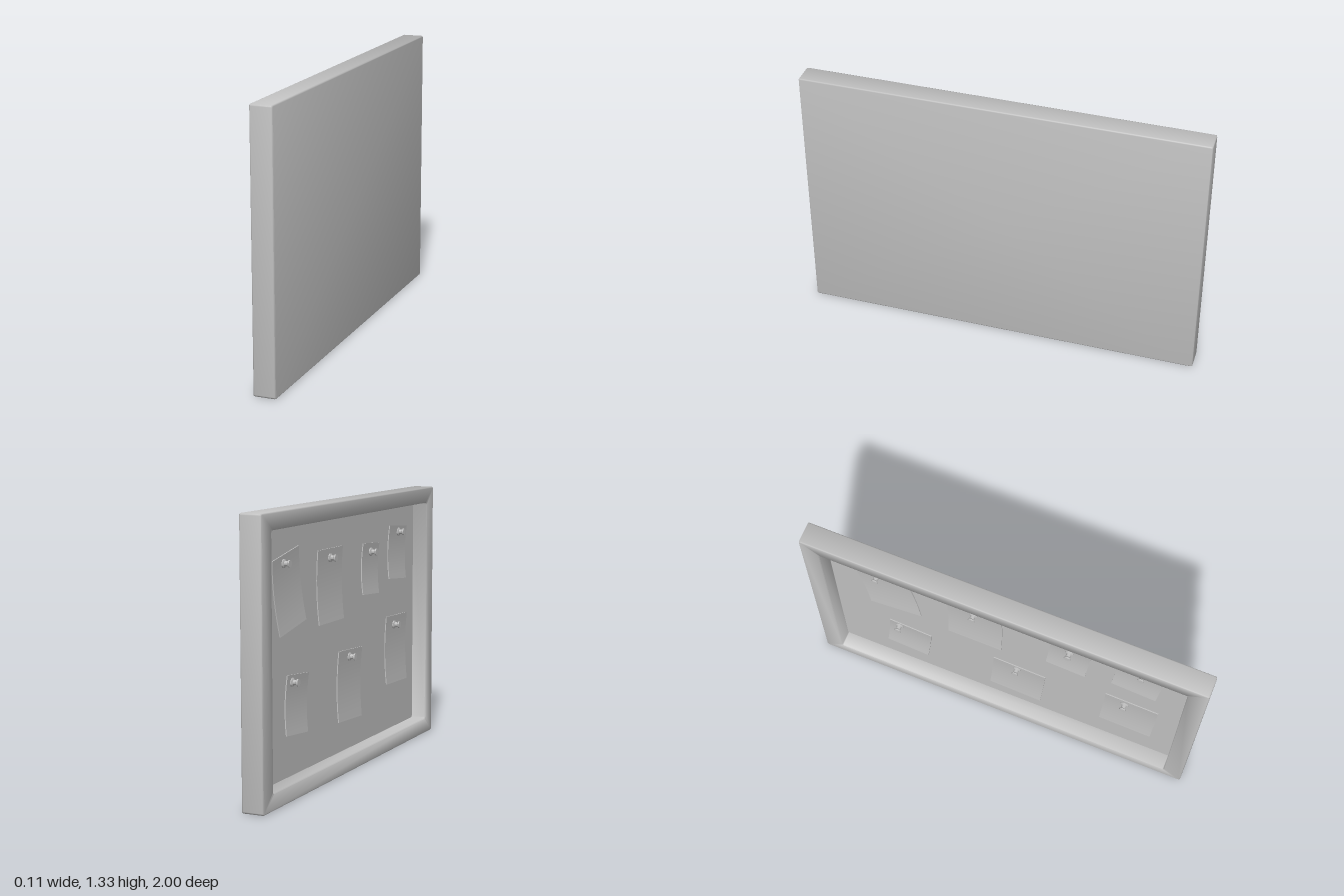
import * as THREE from 'three';
import { toCreasedNormals } from 'three/addons/utils/BufferGeometryUtils.js';

const MID = 0.665;    // height of the board's centre
const FLOOR = -0.023; // depth of the pinning surface

// Rounded rectangle cross-section, counter-clockwise
function ring([hw, hh, r, z]) {
  const pts = [];
  const corners = [[1, 1], [-1, 1], [-1, -1], [1, -1]];
  corners.forEach(([sx, sy], q) => {
    for (let k = 0; k <= 3; k++) {
      const a = (q + k / 3) * Math.PI / 2;
      pts.push(sx * (hw - r) + r * Math.cos(a), sy * (hh - r) + r * Math.sin(a), z);
    }
  });
  return pts;
}

function loft(sections) {
  const n = 16, pos = [], idx = [];
  sections.forEach((s, j) => {
    pos.push(...ring(s));
    if (j === sections.length - 1) return;
    for (let i = 0; i < n; i++) {
      const a = j * n + i, b = j * n + (i + 1) % n;
      idx.push(a, b, b + n, a, b + n, a + n);
    }
  });
  const g = new THREE.BufferGeometry();
  g.setAttribute('position', new THREE.Float32BufferAttribute(pos, 3));
  g.setIndex(idx);
  return toCreasedNormals(g, 0.9);
}

// Thin sheet curling away from the board at top and bottom
function noteGeometry(w, h) {
  const g = new THREE.BoxGeometry(w, h, 0.005, 1, 10, 1);
  const p = g.attributes.position;
  for (let i = 0; i < p.count; i++) {
    const v = p.getY(i) / (h / 2);
    p.setZ(i, p.getZ(i) + 0.009 * v * v - 0.003 * v);
  }
  g.computeVertexNormals();
  return g;
}

// Push pin: wide collar, waist and flared head
function pinGeometry() {
  const profile = [[0, 0], [0.021, 0], [0.021, 0.008], [0.012, 0.012],
    [0.012, 0.027], [0.017, 0.031], [0.017, 0.038], [0, 0.038]];
  const g = new THREE.LatheGeometry(profile.map(([x, y]) => new THREE.Vector2(x, y)), 20);
  g.rotateX(Math.PI / 2);
  return toCreasedNormals(g, 0.6);
}

export function createModel() {
  const model = new THREE.Group();
  const grey = new THREE.MeshStandardMaterial({ color: 0xc0c0c0 });
  grey.name = 'plain grey';

  // Built facing +z, then turned so the pinning side faces -x
  const noticeBoard = new THREE.Group();
  noticeBoard.name = 'noticeBoard';
  noticeBoard.position.y = MID;
  noticeBoard.rotation.y = -Math.PI / 2;
  model.add(noticeBoard);

  const add = (name, geometry, x, y, z, turn = 0) => {
    const m = new THREE.Mesh(geometry, grey);
    m.name = name;
    m.position.set(x, y, z);
    m.rotation.z = turn;
    noticeBoard.add(m);
  };

  // Bevelled frame with a recessed pinning surface: half width, half height, corner radius, depth
  add('frame', loft([
    [0, 0, 0, -0.055],
    [0.993, 0.658, 0.003, -0.055],
    [0.998, 0.663, 0.008, -0.053],
    [1, 0.665, 0.01, -0.048],
    [1, 0.665, 0.01, 0.048],
    [0.998, 0.663, 0.008, 0.053],
    [0.993, 0.658, 0.003, 0.055],
    [0.908, 0.588, 0.013, 0.055],
    [0.905, 0.585, 0.01, 0.052],
    [0.905, 0.585, 0.01, FLOOR],
    [0, 0, 0, FLOOR],
  ]), 0, 0, 0);

  // Notes: centre, size, turn, then pin position
  const notes = [
    [-0.606, 0.948, 0.272, 0.355, 0.18, -0.656, 1.079],
    [-0.16, 0.925, 0.277, 0.355, 0, -0.163, 1.057],
    [0.317, 0.956, 0.2, 0.257, -0.06, 0.32, 1.04],
    [0.664, 1.006, 0.225, 0.274, -0.08, 0.678, 1.112],
    [0.653, 0.5, 0.272, 0.355, -0.03, 0.624, 0.629],
    [0.064, 0.406, 0.275, 0.35, -0.05, 0.06, 0.545],
    [-0.526, 0.413, 0.224, 0.28, -0.09, -0.575, 0.523],
  ];
  const pin = pinGeometry();
  notes.forEach(([x, y, w, h, turn, px, py], i) => {
    add(`note${i + 1}`, noteGeometry(w, h), x, y - MID, FLOOR + 0.004, turn);
    add(`pin${i + 1}`, pin, px, py - MID, FLOOR + 0.006);
  });

  return model;
}
